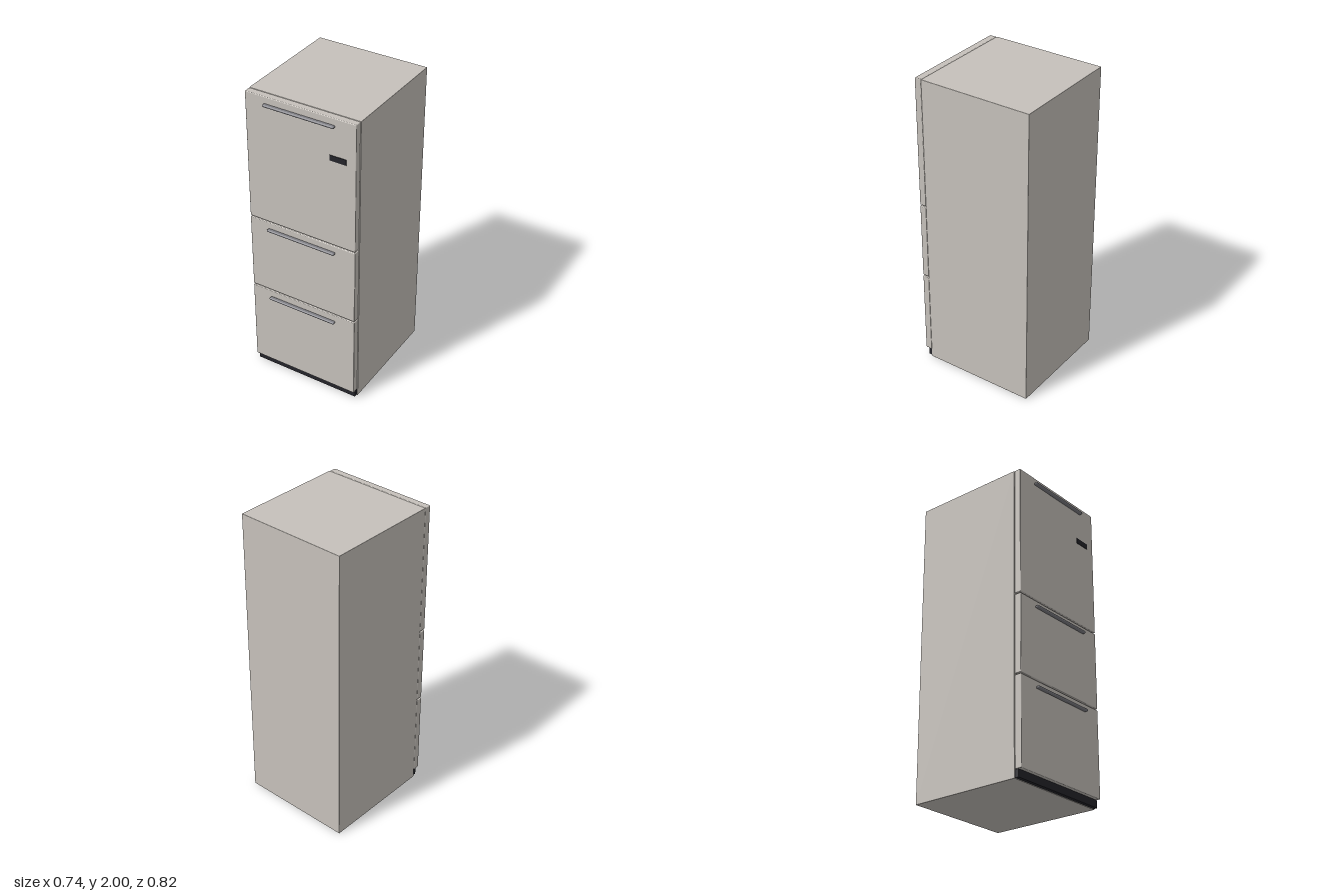
import * as THREE from 'three';
import { RoundedBoxGeometry } from 'three/addons/geometries/RoundedBoxGeometry.js';

function material(name, color) {
  const m = new THREE.MeshStandardMaterial({ color });
  m.name = name;
  return m;
}

export function createModel() {
  const group = new THREE.Group();
  const steel = material('warm grey steel', 0xc6c1bb);
  const metal = material('handle grey', 0x808086);
  const black = material('black plastic', 0x24242a);

  // Adds a mesh spanning the given ranges on each axis
  function block(name, mat, [x0, x1], [y0, y1], [z0, z1], radius = 0) {
    const w = x1 - x0, h = y1 - y0, d = z1 - z0;
    const geo = radius
      ? new RoundedBoxGeometry(w, h, d, 3, radius)
      : new THREE.BoxGeometry(w, h, d);
    const mesh = new THREE.Mesh(geo, mat);
    mesh.name = name;
    mesh.position.set((x0 + x1) / 2, (y0 + y1) / 2, (z0 + z1) / 2);
    group.add(mesh);
  }

  // Cabinet and recessed plinth
  block('cabinet', steel, [-0.372, 0.372], [0, 2], [-0.412, 0.337], 0.002);
  block('plinth', black, [-0.366, 0.366], [0.004, 0.052], [0.337, 0.362]);

  // Door and two drawers, each with a bar handle near its top edge
  const fronts = [
    ['lowerDrawer', 0.054, 0.622, 0.575],
    ['middleDrawer', 0.63, 1.14, 1.095],
    ['upperDoor', 1.148, 2, 1.953],
  ];
  for (const [name, y0, y1, handleY] of fronts) {
    block(name, steel, [-0.37, 0.37], [y0, y1], [0.339, 0.385], 0.005);
    block(name + 'Handle', metal, [-0.237, 0.237], [handleY - 0.0075, handleY + 0.0075], [0.386, 0.412], 0.007);
  }

  // Control display on the upper door
  block('display', black, [0.198, 0.308], [1.724, 1.76], [0.383, 0.388]);

  return group;
}
